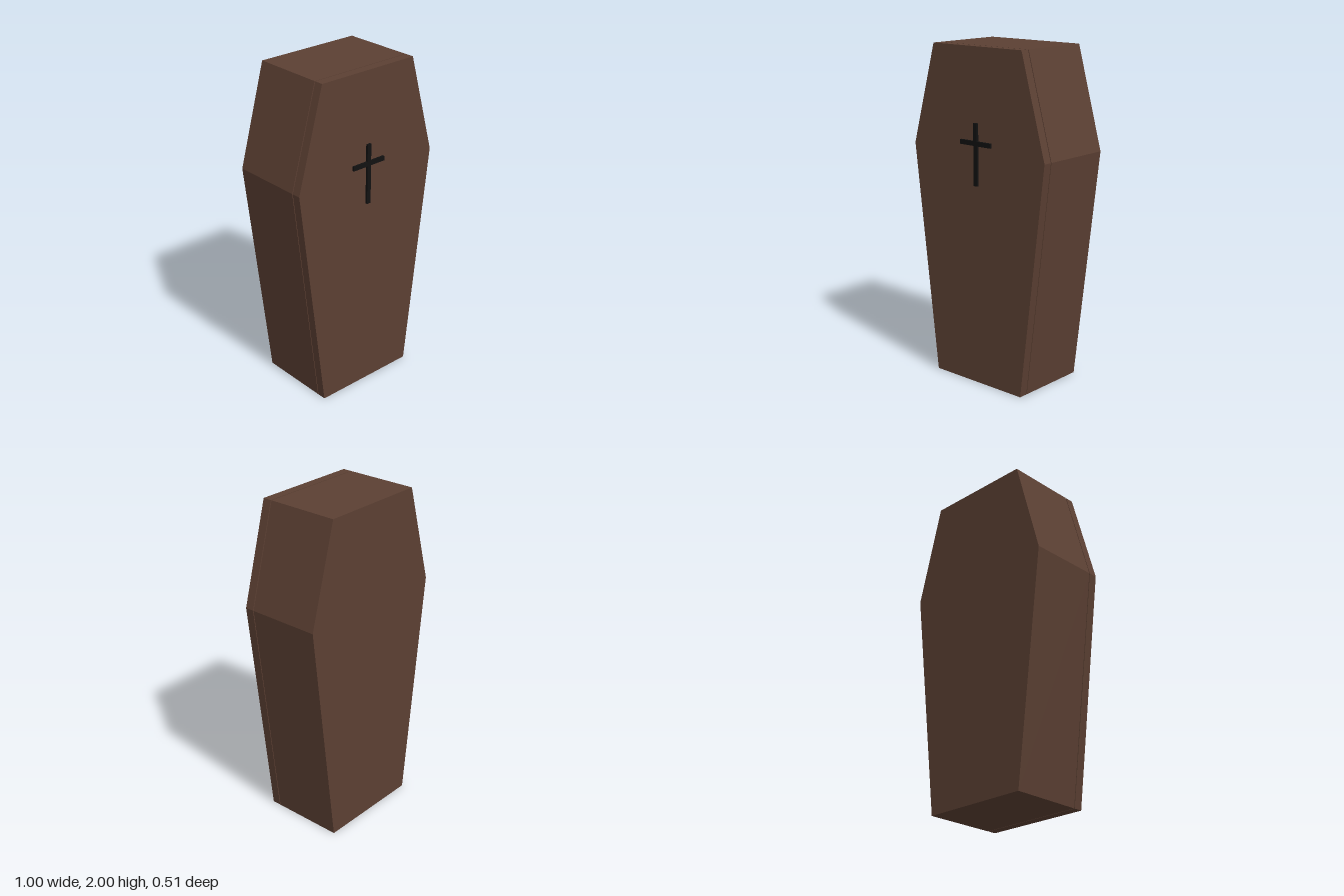
import * as THREE from 'three';

const wood = new THREE.MeshStandardMaterial({ color: 0x5c4033, flatShading: true });
const black = new THREE.MeshStandardMaterial({ color: 0x111111, flatShading: true });

// Six-sided outline shared by the body and the lid
const outline = new THREE.Shape(
  [[-0.333, 0], [0.333, 0], [0.5, 1.4], [0.333, 2], [-0.333, 2], [-0.5, 1.4]]
    .map(([x, y]) => new THREE.Vector2(x, y))
);

function slab(name, back, front) {
  const geometry = new THREE.ExtrudeGeometry(outline, { depth: front - back, bevelEnabled: false });
  const mesh = new THREE.Mesh(geometry, wood);
  mesh.name = name;
  mesh.position.z = back;
  return mesh;
}

function bar(name, width, height, y) {
  const mesh = new THREE.Mesh(new THREE.BoxGeometry(width, height, 0.013), black);
  mesh.name = name;
  mesh.position.set(0, y, 0.2495);
  return mesh;
}

export function createModel() {
  const model = new THREE.Group();
  model.name = 'coffin';

  // Deep body and thin lid, separated by a narrow seam
  model.add(slab('body', -0.258, 0.184), slab('lid', 0.189, 0.243));

  // Cross on the lid
  const cross = new THREE.Group();
  cross.name = 'cross';
  cross.add(bar('crossUpright', 0.027, 0.364, 1.388), bar('crossArm', 0.232, 0.027, 1.453));
  model.add(cross);

  return model;
}
